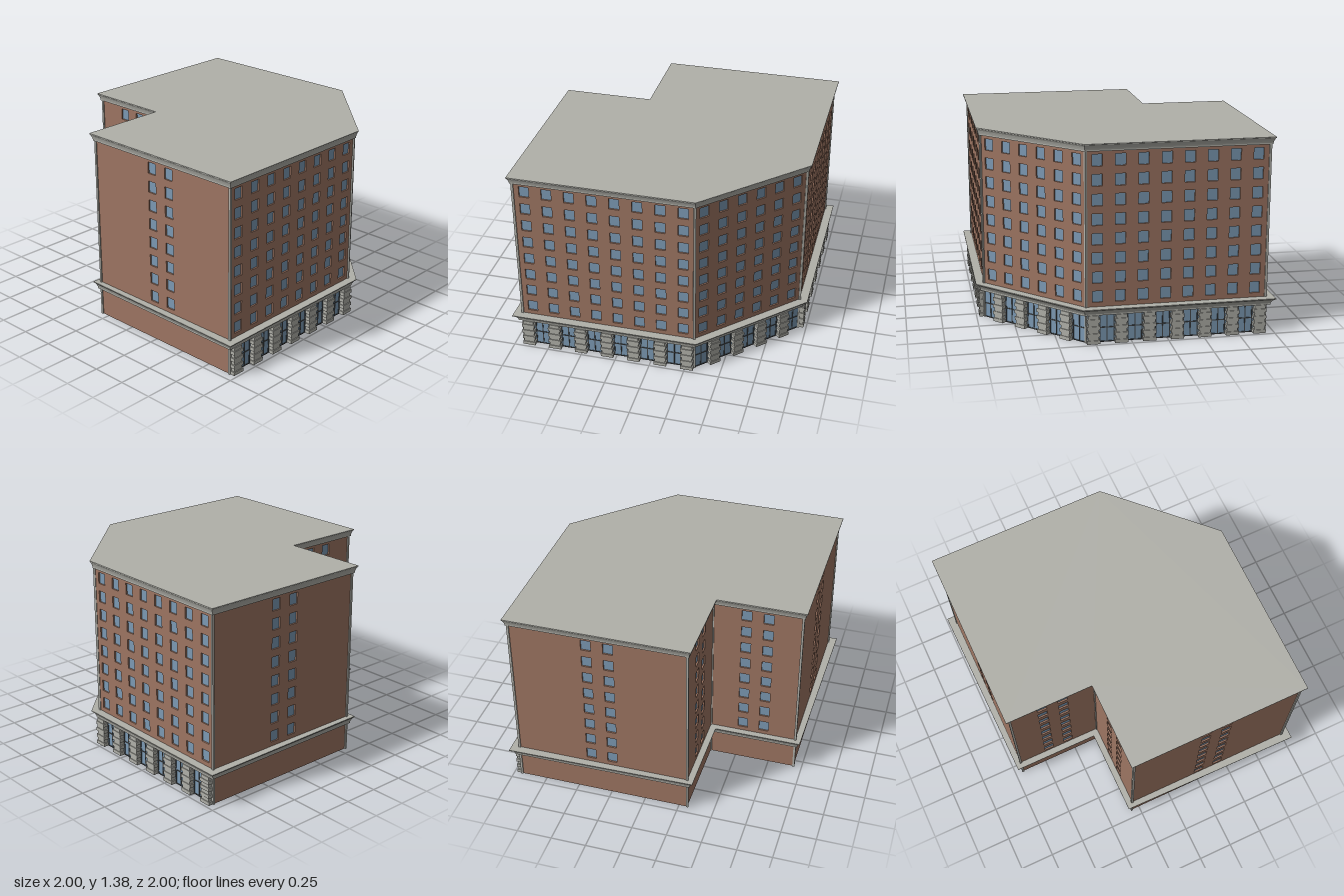
import * as THREE from 'three';

const mat = (name, color) => {
  const m = new THREE.MeshStandardMaterial({ color, side: THREE.DoubleSide });
  m.name = name;
  return m;
};

// Wall corners in plan (x, z), starting at the front left corner
const PLAN = [[0.94, 0.94], [0.94, -0.31], [0.31, -0.94], [-0.94, -0.94],
  [-0.94, 0.31], [-0.31, 0.31], [-0.31, 0.94]];
// Outer edges of the two cornices
const LOWER = [[1, 1], [1, -0.335], [0.335, -1], [-1, -1], [-0.98, 0.355], [-0.355, 0.355], [-0.355, 0.98]];
const UPPER = [[0.97, 0.97], [0.97, -0.322], [0.322, -0.97], [-0.97, -0.97],
  [-0.97, 0.34], [-0.34, 0.34], [-0.34, 0.97]];
// Cornice profile: share of the overhang, height
const PROFILE = [[0, 0], [0.48, 0], [0.48, 0.01], [0.56, 0.02], [0.7, 0.033], [0.92, 0.044], [1, 0.046], [1, 0.052], [0, 0.052]];

const BASE_TOP = 0.203, WALL_BOTTOM = 0.25, WALL_TOP = 1.335, ROOF = 1.38;
const WIN_W = 0.07, WIN_H = 0.08, REVEAL = 0.012;

export function createModel() {
  const brick = mat('brick', 0x9d7562);
  const stone = mat('stone', 0xb0b0a9);
  const glass = mat('glass', 0x7c9ab4);
  const frame = mat('dark frame', 0x45494c);
  const model = new THREE.Group();
  model.name = 'building';

  const add = (parent, name, geo, material, x = 0, y = 0, z = 0) => {
    const mesh = new THREE.Mesh(geo, material);
    mesh.name = name;
    mesh.position.set(x, y, z);
    parent.add(mesh);
    return mesh;
  };
  const box = (parent, name, material, w, h, d, x, y, z) =>
    add(parent, name, new THREE.BoxGeometry(w, h, d), material, x, y, z);

  // Brick wall with recessed windows; local x runs along the wall, z points out
  function upperWall(g, len, columns) {
    const shape = new THREE.Shape();
    shape.moveTo(0, WALL_BOTTOM).lineTo(len, WALL_BOTTOM).lineTo(len, WALL_TOP).lineTo(0, WALL_TOP).closePath();
    for (const cx of columns) {
      for (let row = 0; row < 8; row++) {
        const x = cx - WIN_W / 2, y = 0.325 + row * 0.1343 - WIN_H / 2;
        const hole = new THREE.Path();
        hole.moveTo(x, y).lineTo(x, y + WIN_H).lineTo(x + WIN_W, y + WIN_H).lineTo(x + WIN_W, y).closePath();
        shape.holes.push(hole);
        add(g, 'windowPane', new THREE.PlaneGeometry(WIN_W, WIN_H), glass, cx, y + WIN_H / 2, -REVEAL + 0.001);
      }
    }
    const geo = new THREE.ExtrudeGeometry(shape, { depth: REVEAL, bevelEnabled: false });
    add(g, 'upperWall', geo, brick, 0, 0, -REVEAL);
  }

  // One rusticated pillar of alternating stone courses
  function pillar(g, x, width) {
    const n = 8, h = BASE_TOP / n;
    for (let i = 0; i < n; i++) {
      const wide = i % 2 === 0;
      box(g, 'pillarStone', stone, wide ? width : width - 0.016, h, wide ? 0.04 : 0.035,
        x, (i + 0.5) * h, wide ? 0.02 : 0.0175);
    }
  }

  // Shopfront bay with a mullion, transom and border
  function bay(g, x, width) {
    add(g, 'shopGlass', new THREE.PlaneGeometry(width + 0.02, BASE_TOP), glass, x, BASE_TOP / 2, 0);
    for (const s of [-0.5, 0, 0.5])
      box(g, 'mullion', frame, 0.007, BASE_TOP, 0.008, x + s * (width - 0.007), BASE_TOP / 2, 0);
    for (const y of [0.004, 0.105, BASE_TOP - 0.004])
      box(g, 'transom', frame, width, 0.007, 0.008, x, y, 0);
  }

  // Walls: the first three are street facades with stone shopfronts
  PLAN.forEach((a, i) => {
    const b = PLAN[(i + 1) % PLAN.length];
    const dx = b[0] - a[0], dz = b[1] - a[1], len = Math.hypot(dx, dz);
    const g = new THREE.Group();
    g.name = i < 3 ? 'streetFacade' : 'plainFacade';
    g.position.set(a[0], 0, a[1]);
    g.rotation.y = Math.atan2(-dz, dx);
    model.add(g);

    if (i < 3) {
      const count = i === 1 ? 6 : 8;
      upperWall(g, len, Array.from({ length: count }, (_, k) => (k + 0.5) * len / count));
      const bays = i === 1 ? 5 : 6, pillars = i === 1 ? 4 : 7;
      const pw = i === 1 ? 0.085 : 0.09;
      const bw = (len - pillars * pw) / bays, pitch = pw + bw;
      for (let k = 0; k < bays; k++) bay(g, (i === 1 ? 0 : pw) + bw / 2 + k * pitch, bw);
      for (let k = 0; k < pillars; k++) pillar(g, (i === 1 ? bw : 0) + pw / 2 + k * pitch, pw);
    } else {
      upperWall(g, len, [len / 2 - 0.0775, len / 2 + 0.0775]);
      box(g, 'baseWall', brick, len, BASE_TOP, REVEAL, len / 2, BASE_TOP / 2, -REVEAL / 2);
    }
  });

  // Slim stone strips on the corners
  PLAN.forEach(([x, z], i) => {
    const turn = i === 1 || i === 2 ? Math.PI / 8 : 0;
    for (const [y0, y1] of [[0, BASE_TOP], [WALL_BOTTOM, WALL_TOP]])
      box(model, 'cornerStrip', stone, 0.016, y1 - y0, 0.016, x, (y0 + y1) / 2, z).rotation.y = turn;
  });

  // Cornice swept round the plan, one flat-shaded strip per profile step
  function cornice(name, outer, y) {
    const pos = [];
    const at = (i, [t, h]) => {
      const k = i % PLAN.length, [x, z] = PLAN[k];
      return [x + (outer[k][0] - x) * t, y + h, z + (outer[k][1] - z) * t];
    };
    for (let i = 0; i < PLAN.length; i++) {
      for (let j = 0; j < PROFILE.length - 1; j++) {
        const p = at(i, PROFILE[j]), q = at(i + 1, PROFILE[j]);
        const r = at(i + 1, PROFILE[j + 1]), s = at(i, PROFILE[j + 1]);
        pos.push(...p, ...q, ...r, ...p, ...r, ...s);
      }
    }
    const geo = new THREE.BufferGeometry();
    geo.setAttribute('position', new THREE.Float32BufferAttribute(pos, 3));
    geo.computeVertexNormals();
    add(model, name, geo, stone);
  }
  cornice('lowerCornice', LOWER, 0.202);
  cornice('upperCornice', UPPER, ROOF - 0.052);

  // Flat roof
  const roofShape = new THREE.Shape(UPPER.map(([x, z]) => new THREE.Vector2(x, -z)));
  add(model, 'roof', new THREE.ShapeGeometry(roofShape).rotateX(-Math.PI / 2), stone, 0, ROOF + 0.001, 0);

  return model;
}
